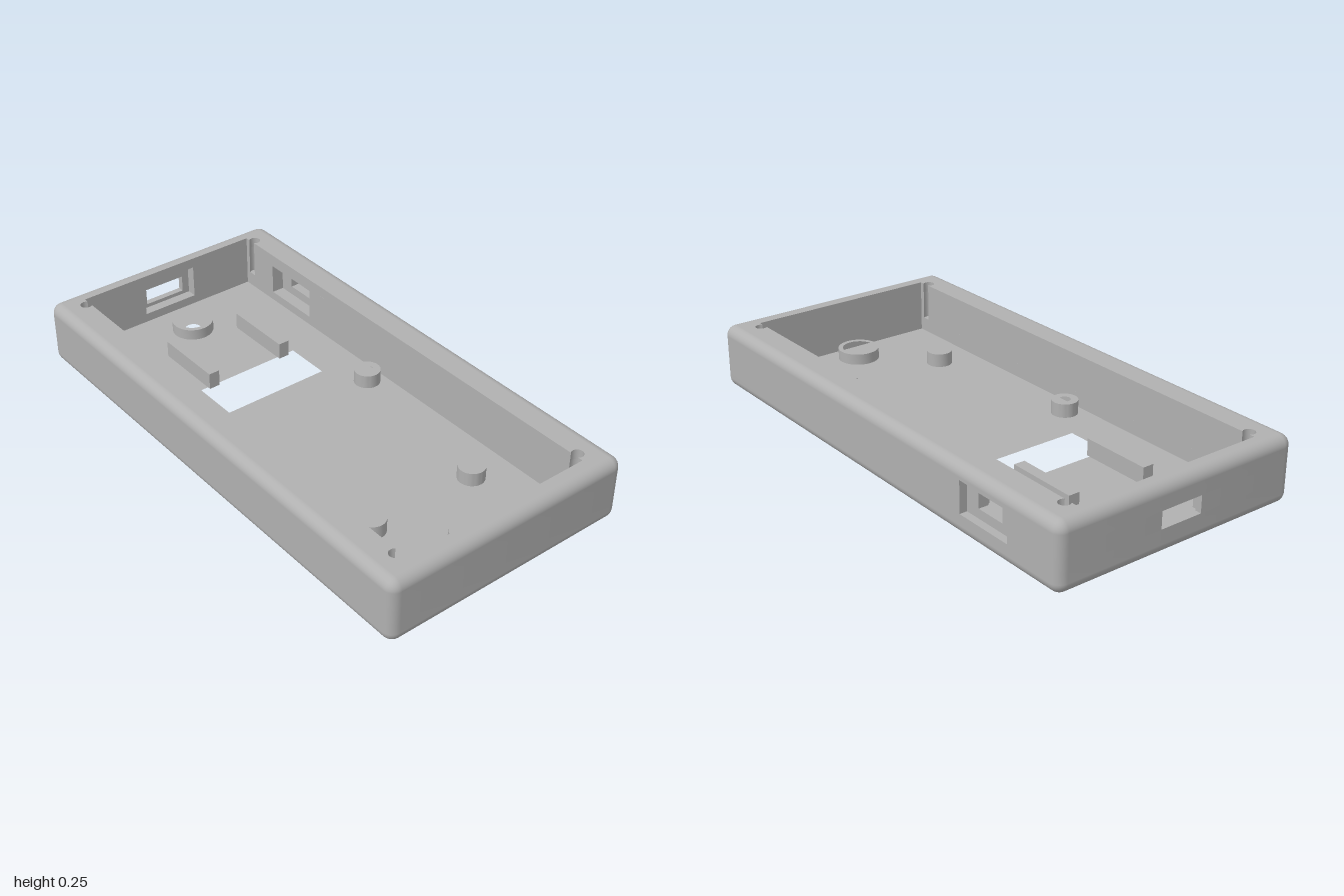
import * as THREE from 'three';
import { mergeGeometries, toCreasedNormals } from 'three/addons/utils/BufferGeometryUtils.js';

const R = 0.04, HX = 0.46, HZ = 0.96, H = 0.25, FLOOR = 0.045;
const CX = 0.38, BACK = -0.935, FRONT = 0.925;          // cavity limits
const SIDE = { z0: -0.76, z1: -0.52, mid: -0.64, half: 0.06 }; // port in the +x wall
const REAR = { half: 0.115, open: 0.085, plate: -0.975 };      // port in the back wall

const grey = new THREE.MeshStandardMaterial({ color: 0xb0b0b0 });
grey.name = 'grey plastic';

// Plan points are [x, z]; extruded upwards from y0 to y1
const toVec = (pts) => pts.map(([x, z]) => new THREE.Vector2(x, -z));
function prism(pts, y0, y1, holes = []) {
  const shape = new THREE.Shape(toVec(pts));
  holes.forEach((h) => shape.holes.push(new THREE.Path(toVec(h))));
  const g = new THREE.ExtrudeGeometry(shape, { depth: y1 - y0, bevelEnabled: false });
  return g.rotateX(-Math.PI / 2).translate(0, y0, 0);
}
const rect = (x0, x1, z0, z1) => [[x0, z0], [x1, z0], [x1, z1], [x0, z1]];
const circle = (x, z, r, n = 40) => Array.from({ length: n }, (_, i) => {
  const a = (i / n) * Math.PI * 2;
  return [x + r * Math.cos(a), z + r * Math.sin(a)];
});

// Rounded outer corner q (quarter turns from +x towards +z)
const N = 8;
const SX = [1, -1, -1, 1], SZ = [1, 1, -1, -1];
const corner = (q) => Array.from({ length: N + 1 }, (_, i) => {
  const a = (q + i / N) * Math.PI / 2;
  return [SX[q] * HX + R * Math.cos(a), SZ[q] * HZ + R * Math.sin(a)];
});

// Lid screw groove in a long wall
const notch = (sx, z, d) => Array.from({ length: 13 }, (_, i) => {
  const t = (i / 6 - 1) * 2.32;
  return [sx * (0.395 + 0.022 * Math.cos(t)), z + d * 0.022 * Math.sin(t)];
});

// One horizontal layer of the wall, as two pieces parted at the ports
function wallLayer(y0, y1) {
  const y = (y0 + y1) / 2;
  const within = (a, b) => y > a && y < b;
  const sideRecess = within(0.08, 0.2), rearRecess = within(0.08, 0.21);
  const so = within(0.115, 0.17) ? SIDE.half : 0;
  const ro = within(0.095, 0.16) ? REAR.open : 0;
  const groove = (...a) => (y > 0.1 ? notch(...a) : []);
  const outer = (z, e) => (sideRecess ? [[0.5, e], [0.47, e], [0.47, z]] : [[0.5, z]]);
  const inner = (z, e) => (sideRecess ? [[0.43, z], [0.43, e], [CX, e]] : [[CX, z]]);
  const rear = (s) => (rearRecess
    ? [[s * REAR.half, BACK], [s * REAR.half, REAR.plate], [s * ro, REAR.plate]]
    : [[s * ro, BACK]]);
  const za = SIDE.mid - so, zb = SIDE.mid + so;
  const small = [[ro, -1], ...corner(3), ...outer(za, SIDE.z0), ...inner(za, SIDE.z0),
    ...groove(1, -0.9, -1), [CX, BACK], ...rear(1)];
  const large = [...outer(zb, SIDE.z1).reverse(), ...corner(0), ...corner(1), ...corner(2), [-ro, -1],
    ...rear(-1).reverse(), [-CX, BACK], ...groove(-1, -0.9, 1), ...groove(-1, 0.89, 1),
    [-CX, FRONT], [CX, FRONT], ...groove(1, 0.89, -1), ...inner(zb, SIDE.z1).reverse()];
  return [prism(small, y0, y1), prism(large, y0, y1)];
}

// Quarter-round edge running around the case, up = 1 for top, -1 for bottom
function fillet(up) {
  const pos = [], nor = [], idx = [], count = 4 * (N + 1);
  const yc = up > 0 ? H - R : R;
  for (let j = 0; j <= N; j++) {
    const b = (j / N) * Math.PI / 2;
    for (let q = 0; q < 4; q++) for (let i = 0; i <= N; i++) {
      const a = (q + i / N) * Math.PI / 2;
      const n = [Math.cos(a) * Math.cos(b), up * Math.sin(b), Math.sin(a) * Math.cos(b)];
      nor.push(...n);
      pos.push(SX[q] * HX + R * n[0], yc + R * n[1], SZ[q] * HZ + R * n[2]);
    }
  }
  for (let j = 0; j < N; j++) for (let i = 0; i < count; i++) {
    const a = j * count + i, b = j * count + (i + 1) % count, c = a + count, d = b + count;
    if (up > 0) idx.push(a, c, b, b, c, d);
    else idx.push(a, b, c, b, d, c);
  }
  const g = new THREE.BufferGeometry();
  g.setAttribute('position', new THREE.Float32BufferAttribute(pos, 3));
  g.setAttribute('normal', new THREE.Float32BufferAttribute(nor, 3));
  g.setIndex(idx);
  return g;
}

export function createModel() {
  const model = new THREE.Group();
  model.name = 'enclosureBase';
  const add = (name, geometry) => {
    const mesh = new THREE.Mesh(geometry, grey);
    mesh.name = name;
    model.add(mesh);
  };
  const screws = [[0, -0.78], [0, 0.825]];
  const posts = [[-0.31, -0.08], [0.31, -0.08], [-0.225, 0.585], [0.22, 0.585]];

  // Floor with window and two screw holes
  add('floor', toCreasedNormals(prism(rect(-HX, HX, -HZ, HZ), 0, FLOOR, [
    rect(-0.215, 0.215, -0.413, -0.233),
    ...screws.map(([x, z]) => circle(x, z, 0.032)),
  ]), 0.5));

  // Walls stacked in layers so the ports and grooves are true openings
  const levels = [R, 0.08, 0.095, 0.1, 0.115, 0.16, 0.17, 0.2, H - R];
  const layers = levels.slice(1).flatMap((y, i) => wallLayer(levels[i], y));
  add('walls', toCreasedNormals(mergeGeometries(layers), 0.5));

  // Flat rim and rounded edges
  const cavity = [[-CX, BACK], ...notch(-1, -0.9, 1), ...notch(-1, 0.89, 1), [-CX, FRONT],
    [CX, FRONT], ...notch(1, 0.89, -1), ...notch(1, -0.9, -1), [CX, BACK]];
  add('rim', toCreasedNormals(prism(rect(-HX, HX, -HZ, HZ), H - R, H, [cavity]), 0.5));
  add('topEdge', fillet(1));
  add('bottomEdge', fillet(-1));

  // Raised rings around the screw holes, and board posts with pilot bores
  const tube = (x, z, r, bore, top) =>
    toCreasedNormals(prism(circle(x, z, r), FLOOR, top, [circle(x, z, bore)]), 0.5);
  screws.forEach(([x, z]) => add('screwBoss', tube(x, z, 0.08, 0.062, 0.088)));
  posts.forEach(([x, z]) => add('boardPost', tube(x, z, 0.05, 0.022, 0.098)));

  // Pair of guide ribs behind the window
  for (const x of [-0.162, 0.162]) {
    add('guideRib', prism(rect(x - 0.022, x + 0.022, -0.68, -0.4), FLOOR, 0.11));
  }
  return model;
}
